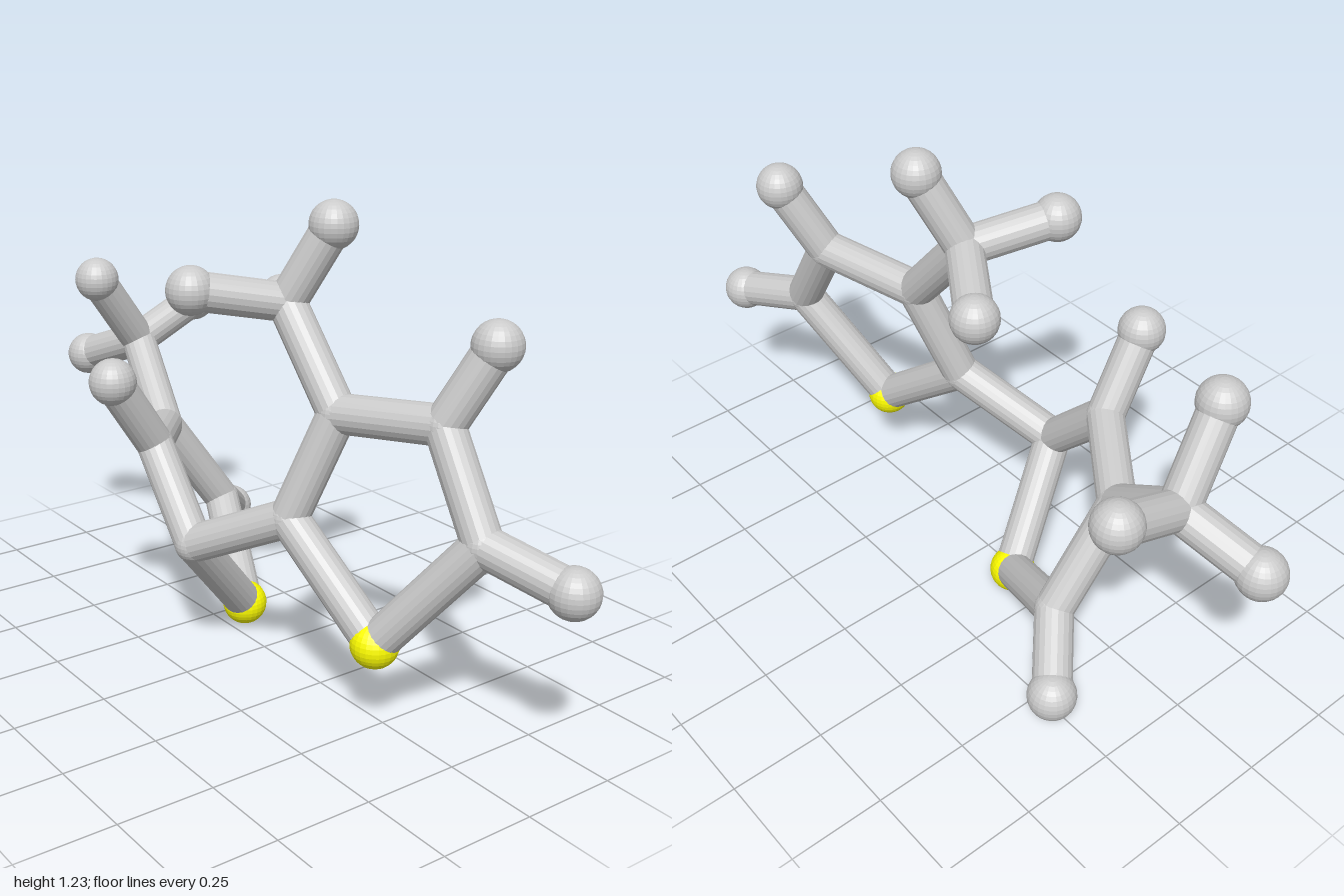
import * as THREE from 'three';

const grey = new THREE.MeshStandardMaterial({ color: 0xcccccc, flatShading: true });
const yellow = new THREE.MeshStandardMaterial({ color: 0xffff00, flatShading: true });

const BOND_RADIUS = 0.05;
const ATOM_RADIUS = { carbon: 0.051, hydrogen: 0.062, sulfur: 0.061 };

// Each unit: a five-membered ring (sulfur first, in ring order), plus side atoms
const units = [
  {
    name: 'leftRing',
    ring: [[-0.16, 0.062, -0.047], [-0.05, 0.335, 0.19], [-0.26, 0.55, 0.175], [-0.49, 0.507, 0], [-0.472, 0.25, -0.18]],
    ringHydrogens: { 2: [-0.24, 0.748, 0.308], 4: [-0.613, 0.15, -0.31] },
    methyl: [-0.735, 0.7, -0.062],
    methylHydrogens: [[-0.7, 0.907, 0.09], [-0.94, 0.62, -0.003], [-0.752, 0.79, -0.272]],
  },
  {
    name: 'rightRing',
    ring: [[0.507, 0.23, 0.038], [0.21, 0.465, 0.075], [0.283, 0.74, -0.015], [0.565, 0.767, -0.105], [0.725, 0.527, -0.09]],
    ringHydrogens: { 3: [0.64, 0.96, -0.188], 4: [0.938, 0.47, -0.162] },
    methyl: [0.075, 0.975, -0.015],
    methylHydrogens: [[0.16, 1.173, -0.092], [-0.018, 1.017, 0.208], [-0.13, 0.93, -0.15]],
  },
];
// Ring corner that carries the methyl branch
const methylCorner = { leftRing: 3, rightRing: 2 };

function atom(kind, p) {
  const mesh = new THREE.Mesh(
    new THREE.SphereGeometry(ATOM_RADIUS[kind], 24, 16),
    kind === 'sulfur' ? yellow : grey
  );
  mesh.position.set(...p);
  mesh.name = kind + 'Atom';
  return mesh;
}

// Straight rod between two atom centres
function bond(a, b, name = 'bond') {
  const start = new THREE.Vector3(...a);
  const dir = new THREE.Vector3(...b).sub(start);
  const length = dir.length();
  const mesh = new THREE.Mesh(new THREE.CylinderGeometry(BOND_RADIUS, BOND_RADIUS, length, 20), grey);
  mesh.position.copy(start).addScaledVector(dir, 0.5);
  mesh.quaternion.setFromUnitVectors(new THREE.Vector3(0, 1, 0), dir.normalize());
  mesh.name = name;
  return mesh;
}

function buildUnit({ name, ring, ringHydrogens, methyl, methylHydrogens }) {
  const unit = new THREE.Group();
  unit.name = name;

  // Closed ring
  ring.forEach((p, i) => {
    unit.add(atom(i === 0 ? 'sulfur' : 'carbon', p));
    unit.add(bond(p, ring[(i + 1) % ring.length], 'ringBond'));
  });

  // Hydrogens on the ring corners
  for (const [corner, p] of Object.entries(ringHydrogens)) {
    unit.add(bond(ring[corner], p, 'hydrogenBond'), atom('hydrogen', p));
  }

  // Methyl branch with three hydrogens
  const branch = new THREE.Group();
  branch.name = 'methylBranch';
  branch.add(bond(ring[methylCorner[name]], methyl, 'branchBond'), atom('carbon', methyl));
  for (const p of methylHydrogens) {
    branch.add(bond(methyl, p, 'hydrogenBond'), atom('hydrogen', p));
  }
  unit.add(branch);
  return unit;
}

export function createModel() {
  const model = new THREE.Group();
  model.name = 'molecule';
  for (const unit of units) model.add(buildUnit(unit));
  // Rod joining the two rings
  model.add(bond(units[0].ring[1], units[1].ring[1], 'linkBond'));
  return model;
}
